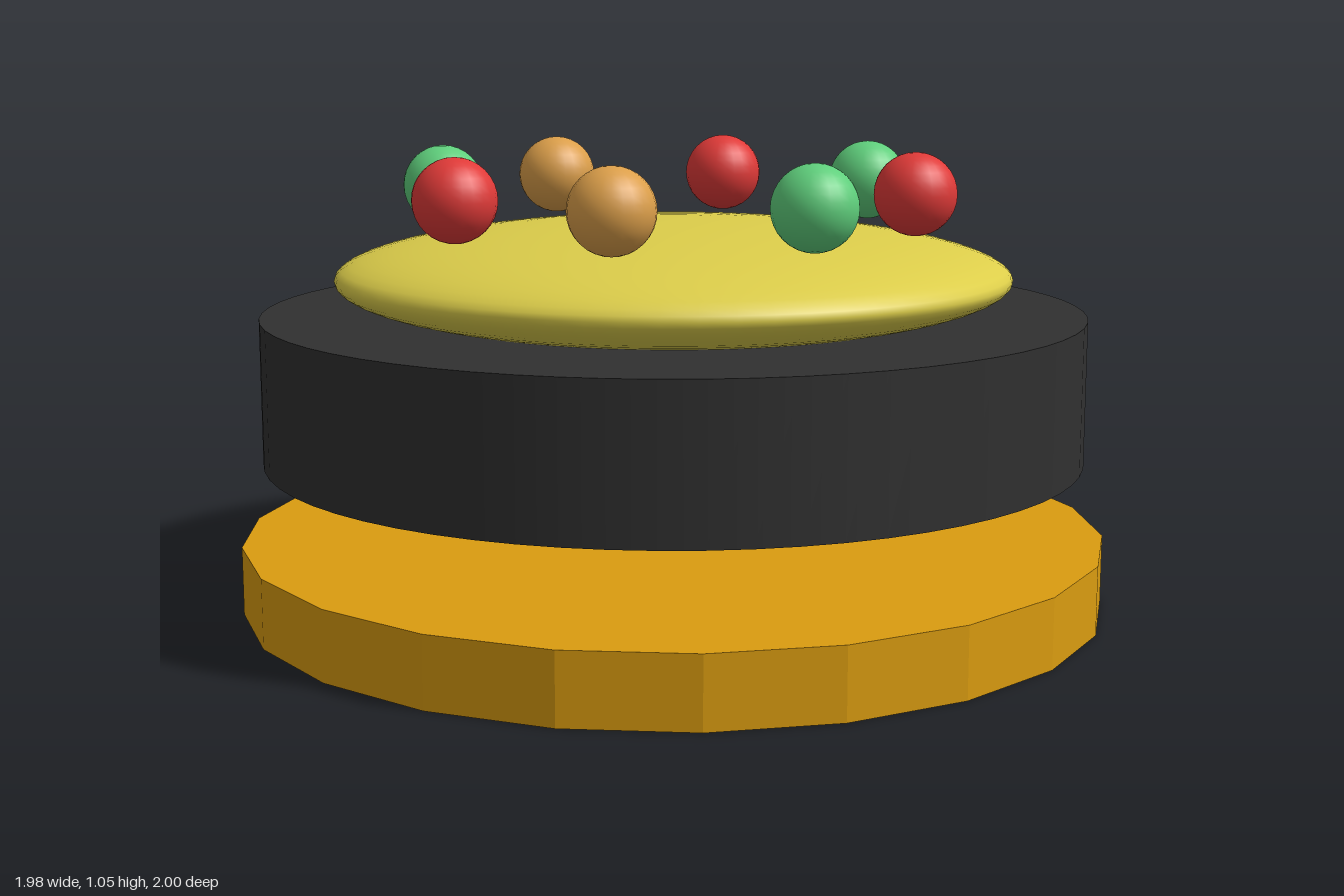
import * as THREE from 'three';

export function createModel() {
  const model = new THREE.Group();
  const paint = (name, color, flatShading = false) => {
    const m = new THREE.MeshStandardMaterial({ color, flatShading });
    m.name = name;
    return m;
  };
  const gold = paint('gold', 0xda9c10, true);
  const black = paint('charcoal', 0x303030);
  const yellow = paint('yellow', 0xdccd4a);
  const beadColours = [paint('red', 0xe03a38), paint('green', 0x5fcf7c), paint('amber', 0xdc9f4a)];

  const add = (name, geometry, material, x, y, z) => {
    const mesh = new THREE.Mesh(geometry, material);
    mesh.name = name;
    mesh.position.set(x, y, z);
    model.add(mesh);
    return mesh;
  };

  // Faceted base plate
  add('basePlate', new THREE.CylinderGeometry(1, 1, 0.157, 22), gold, 0, 0.0785, 0);

  // Smooth drum floating above the base
  add('drum', new THREE.CylinderGeometry(0.946, 0.946, 0.332, 64), black, 0, 0.51, 0);

  // Flattened dome resting in the drum
  const dome = new THREE.SphereGeometry(0.777, 64, 32);
  dome.scale(1, 0.127 / 0.777, 1);
  add('dome', dome, yellow, 0, 0.757, 0);

  // Ring of eight beads in repeating colours
  const bead = new THREE.SphereGeometry(0.094, 24, 16);
  for (let i = 0; i < 8; i++) {
    const a = (i * Math.PI) / 4;
    add(`bead${i + 1}`, bead, beadColours[i % 3], 0.557 * Math.cos(a), 0.954, 0.557 * Math.sin(a));
  }
  return model;
}
